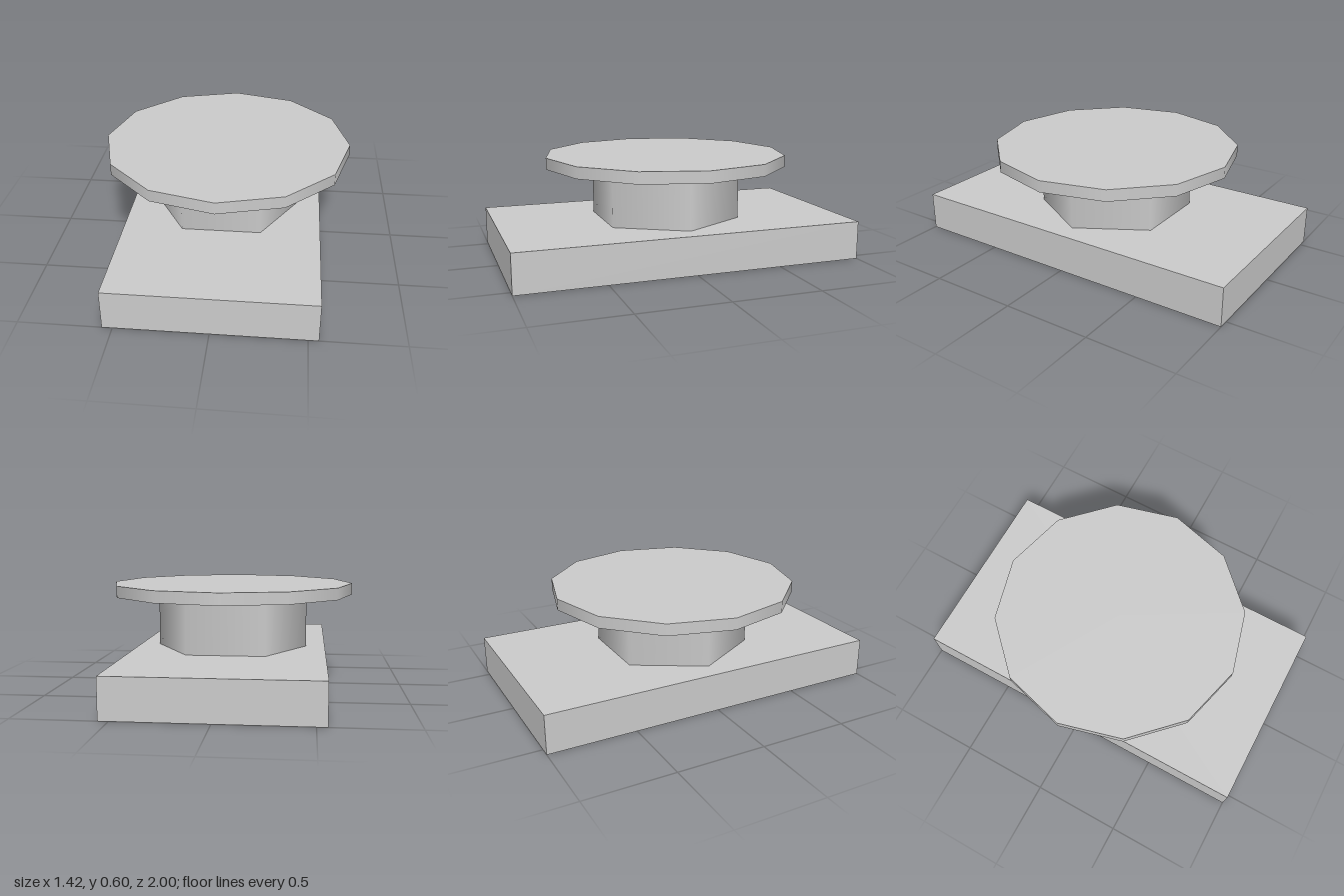
import * as THREE from 'three';

export function createModel() {
  const model = new THREE.Group();
  const grey = new THREE.MeshStandardMaterial({ color: 0xcccccc });
  grey.name = 'grey';

  const add = (name, geometry, bottom, height) => {
    const mesh = new THREE.Mesh(geometry, grey);
    mesh.name = name;
    mesh.position.y = bottom + height / 2;
    model.add(mesh);
  };

  // Rectangular slab, hexagonal column with corners on x, twelve-sided top
  add('base', new THREE.BoxGeometry(1.11, 0.222, 2), 0, 0.222);
  add('column', new THREE.CylinderGeometry(0.443, 0.443, 0.313, 6, 1, false, Math.PI / 2), 0.222, 0.313);
  add('topDisc', new THREE.CylinderGeometry(0.709, 0.709, 0.066, 12), 0.535, 0.066);

  return model;
}
